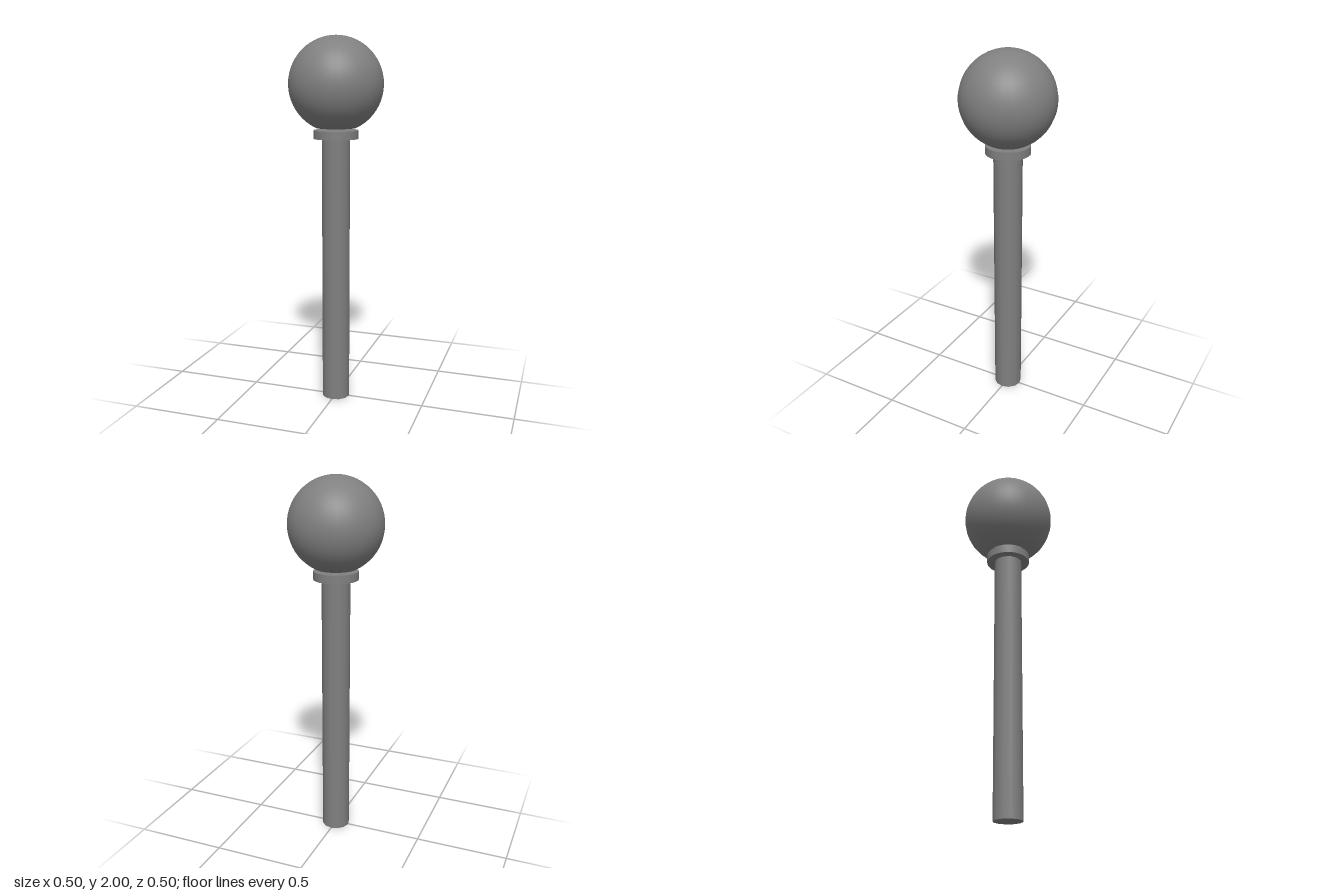
import * as THREE from 'three';

export function createModel() {
  const group = new THREE.Group();
  const material = new THREE.MeshStandardMaterial({ color: 0x808080, side: THREE.DoubleSide });

  const add = (name, geometry, y) => {
    const mesh = new THREE.Mesh(geometry, material);
    mesh.name = name;
    mesh.position.y = y;
    group.add(mesh);
  };

  // Long closed shaft
  const shaftTop = 1.465;
  add('shaft', new THREE.CylinderGeometry(0.077, 0.077, shaftTop, 12), shaftTop / 2);

  // Flat collar on top of the shaft
  const collarHeight = 0.045;
  add('collar', new THREE.CylinderGeometry(0.12, 0.12, collarHeight, 32), 1.463 + collarHeight / 2);

  // Ball cut off flat just above the collar
  const radius = 0.252;
  add('ball', new THREE.SphereGeometry(radius, 32, 24, 0, Math.PI * 2, 0, Math.PI * 0.86), 2 - radius);

  return group;
}
